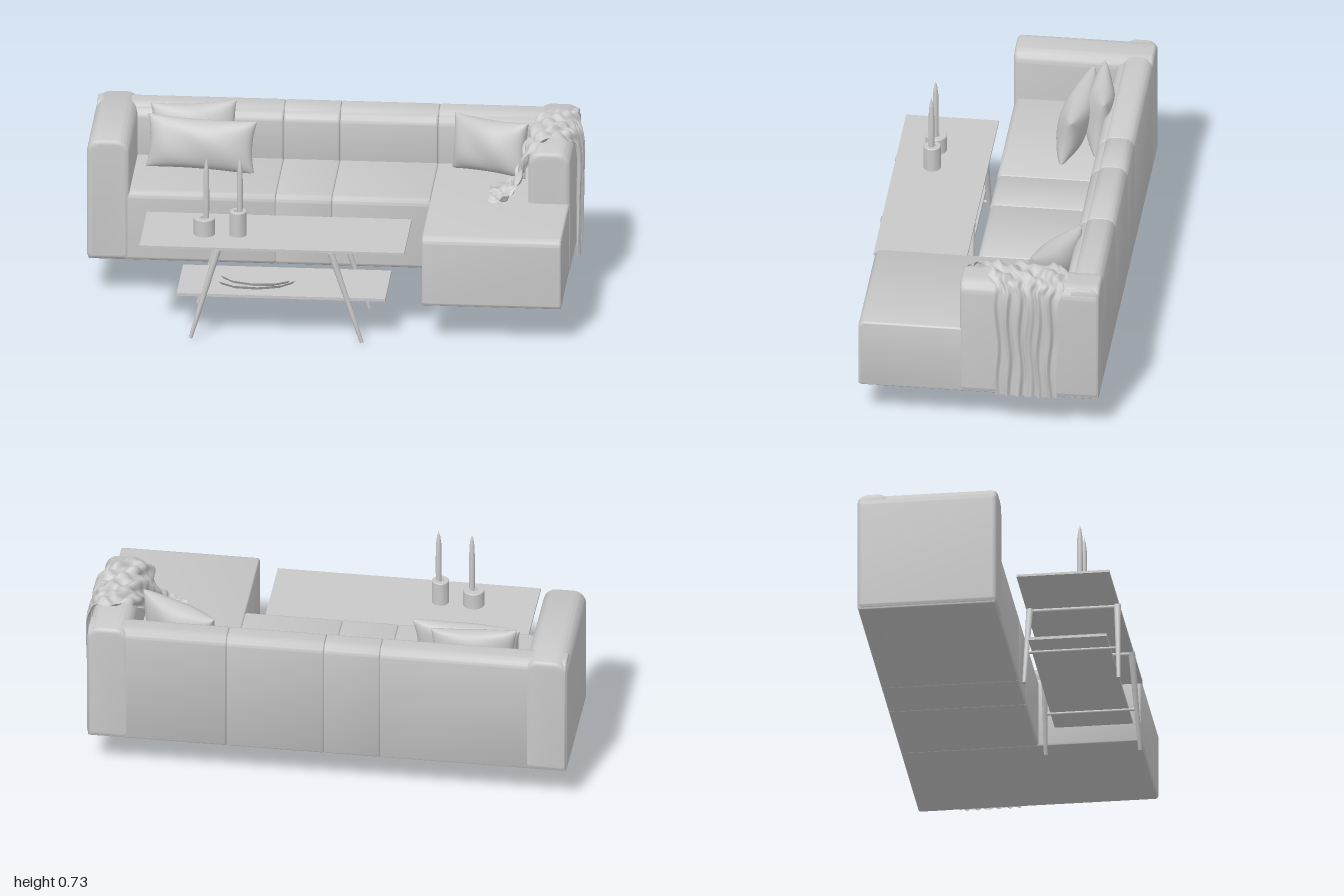
import * as THREE from 'three';
import { mergeGeometries, mergeVertices, toCreasedNormals } from 'three/addons/utils/BufferGeometryUtils.js';

const clay = new THREE.MeshStandardMaterial({ color: 0xc8c8c8, side: THREE.DoubleSide });
clay.name = 'light grey';
const V = (x, y, z) => new THREE.Vector3(x, y, z);

function add(parent, name, geo, x = 0, y = 0, z = 0) {
  const m = new THREE.Mesh(geo, clay);
  m.name = name;
  m.position.set(x, y, z);
  parent.add(m);
  return m;
}

// Upholstered block: rounded cross-section extruded along x or z with softened ends
function block(parent, name, [x0, x1], [y0, y1], [z0, z1], axis, rTop, bevel) {
  const alongX = axis === 'x';
  const [a0, a1] = alongX ? [-z1, -z0] : [x0, x1];
  const [e0, e1] = alongX ? [x0, x1] : [z0, z1];
  const l = a0 + bevel, r = a1 - bevel, b = y0 + bevel, t = y1 - bevel;
  const rb = 0.006, rt = rTop;
  const s = new THREE.Shape();
  s.moveTo(l + rb, b);
  s.lineTo(r - rb, b).quadraticCurveTo(r, b, r, b + rb);
  s.lineTo(r, t - rt).absarc(r - rt, t - rt, rt, 0, Math.PI / 2, false);
  s.lineTo(l + rt, t).absarc(l + rt, t - rt, rt, Math.PI / 2, Math.PI, false);
  s.lineTo(l, b + rb).quadraticCurveTo(l, b, l + rb, b);
  let g = new THREE.ExtrudeGeometry(s, {
    depth: e1 - e0 - 2 * bevel, bevelEnabled: true, bevelThickness: bevel,
    bevelSize: bevel, bevelSegments: 4, curveSegments: 6,
  });
  g.translate(0, 0, e0 + bevel);
  if (alongX) g.rotateY(Math.PI / 2);
  return add(parent, name, toCreasedNormals(g, 0.7));
}

// Tapered round bar between two points
function bar(parent, name, a, b, rA, rB) {
  const d = b.clone().sub(a);
  const m = add(parent, name, new THREE.CylinderGeometry(rB, rA, d.length(), 12));
  m.position.copy(a).addScaledVector(d, 0.5);
  m.quaternion.setFromUnitVectors(V(0, 1, 0), d.normalize());
  return m;
}

// Pillow with pinched edges and pointed corners
function pillow(parent, name, w, h, t, pos, rot) {
  const side = (sgn) => {
    const g = new THREE.PlaneGeometry(2, 2, 20, 20), p = g.attributes.position;
    for (let i = 0; i < p.count; i++) {
      const u = Math.sin(p.getX(i) * Math.PI / 2), v = Math.sin(p.getY(i) * Math.PI / 2);
      const fat = Math.pow((1 - u * u) * (1 - v * v), 0.42);
      const crease = 1 + 0.06 * Math.sin(5 * u + 3 * v);
      p.setXYZ(i, sgn * w * u * (1 - 0.07 * (1 - v * v)), h * v * (1 - 0.09 * (1 - u * u)), sgn * t * fat * crease);
    }
    g.deleteAttribute('normal');
    g.deleteAttribute('uv');
    return g;
  };
  const g = mergeVertices(mergeGeometries([side(1), side(-1)]), 1e-5);
  g.computeVertexNormals();
  add(parent, name, g, ...pos).rotation.set(rot[0], rot[1], rot[2], 'YXZ');
}

// Draped blanket: pleated sheet lofted between two edge curves
function throwBlanket(parent) {
  const rows = [ // x, y, front z, rear z
    [0.982, 0.165, -0.09, -0.34], [0.983, 0.4, -0.09, -0.345], [0.98, 0.63, -0.085, -0.355],
    [0.95, 0.685, -0.07, -0.37], [0.89, 0.698, -0.03, -0.37], [0.825, 0.685, 0.02, -0.34],
    [0.79, 0.62, 0.05, -0.25], [0.755, 0.52, 0.065, -0.17], [0.71, 0.474, 0.085, -0.12],
    [0.64, 0.466, 0.07, -0.07]];
  const front = new THREE.CatmullRomCurve3(rows.map((r) => V(r[0], r[1], r[2])));
  const rear = new THREE.CatmullRomCurve3(rows.map((r) => V(r[0], r[1], r[3])));
  const nu = 60, nv = 48;
  const g = new THREE.PlaneGeometry(1, 1, nv, nu), p = g.attributes.position;
  for (let i = 0; i <= nu; i++) {
    const u = i / nu, a = front.getPoint(u), b = rear.getPoint(u), t = front.getTangent(u);
    const k = Math.hypot(t.x, t.y) || 1, nx = t.y / k, ny = -t.x / k;
    const messy = THREE.MathUtils.smoothstep(u, 0.22, 0.4);
    for (let j = 0; j <= nv; j++) {
      const v = j / nv;
      const pleat = 0.007 * Math.sin(v * 38 + Math.sin(u * 9)) + 0.004 * Math.sin(v * 67 + u * 6);
      const rumple = 0.009 * Math.sin(v * 17 + u * 31) + 0.007 * Math.sin(v * 29 - u * 47);
      const off = 0.007 + pleat * (1 - 0.5 * messy) + rumple * messy;
      const q = a.clone().lerp(b, v);
      p.setXYZ(i * (nv + 1) + j, q.x + nx * off, Math.max(q.y + ny * off, 0.16), q.z + 0.006 * Math.sin(u * 40 + v * 6));
    }
  }
  g.computeVertexNormals();
  add(parent, 'throwBlanket', g);
}

function buildSofa() {
  const sofa = new THREE.Group();
  sofa.name = 'sofa';
  // Seat, back and cushion of each section
  const seams = [-0.995, -0.23, 0, 0.4, 0.968];
  for (let i = 0; i < 4; i++) {
    const x = [seams[i], seams[i + 1]], chaise = i === 3;
    block(sofa, chaise ? 'chaiseSeat' : 'seat', x, [0.157, 0.457], [-0.45, chaise ? 0.475 : 0.056], 'x', 0.022, 0.009);
    block(sofa, 'backrest', x, [0.157, 0.672], [-0.51, -0.385], 'x', 0.035, 0.007);
    const cx = [Math.max(x[0], -0.84), Math.min(x[1], 0.82)];
    block(sofa, 'backCushion', cx, [0.44, 0.655], [-0.46, -0.358], 'x', 0.035, 0.01);
  }
  // Arms
  block(sofa, 'rightArm', [-1, -0.825], [0.157, 0.678], [-0.512, 0.06], 'z', 0.035, 0.02);
  block(sofa, 'leftArm', [0.8, 0.973], [0.157, 0.678], [-0.512, 0.06], 'z', 0.035, 0.02);
  // Loose pillows and blanket
  pillow(sofa, 'rearPillow', 0.175, 0.13, 0.06, [-0.59, 0.575, -0.325], [-0.15, 0.12, 0.02]);
  pillow(sofa, 'frontPillow', 0.225, 0.11, 0.065, [-0.555, 0.56, -0.235], [-0.22, -0.08, -0.02]);
  pillow(sofa, 'cornerPillow', 0.175, 0.115, 0.07, [0.62, 0.573, -0.275], [-0.2, -0.48, 0.06]);
  throwBlanket(sofa);
  return sofa;
}

function buildTable() {
  const table = new THREE.Group();
  table.name = 'coffeeTable';
  add(table, 'tableTop', new THREE.BoxGeometry(1.08, 0.01, 0.38), -0.21, 0.387, 0.3);
  add(table, 'shelf', new THREE.BoxGeometry(0.85, 0.012, 0.32), -0.175, 0.172, 0.3);
  // Splayed legs with cross rails under the top and shelf
  for (const [xt, xb] of [[-0.43, -0.54], [0.03, 0.158]]) {
    for (const [zt, zb] of [[0.483, 0.502], [0.124, 0.115]])
      bar(table, 'leg', V(xb, 0.002, zb), V(xt, 0.383, zt), 0.008, 0.014);
    bar(table, 'topRail', V(xt, 0.374, 0.124), V(xt, 0.374, 0.483), 0.008, 0.008);
    const xs = xb + (xt - xb) * 0.42;
    bar(table, 'shelfRail', V(xs, 0.16, 0.12), V(xs, 0.16, 0.493), 0.006, 0.006);
  }
  // Magazines on the shelf
  [[0.165, 0.186, 0.1], [0.15, 0.198, -0.12]].forEach(([r, y, turn]) => {
    const m = add(table, 'magazine', new THREE.CylinderGeometry(r, r * 0.92, 0.013, 10), -0.285, y, 0.31);
    m.scale.z = 0.6;
    m.rotation.y = turn;
  });
  // Candles in round holders
  for (const [x, r, top, tip] of [[-0.497, 0.044, 0.463, 0.722], [-0.36, 0.035, 0.496, 0.728]]) {
    const holder = [[0, 0.392], [r, 0.392], [r, top - 0.003], [r - 0.003, top], [0.016, top], [0.014, top - 0.012], [0, top - 0.012]];
    const candle = [[0.011, top - 0.012], [0.0125, top + 0.06], [0.011, tip - 0.06], [0.006, tip - 0.02], [0.002, tip - 0.01], [0, tip]];
    const turn = (pts) => toCreasedNormals(new THREE.LatheGeometry(pts.map((q) => new THREE.Vector2(...q)), 20), 0.6);
    add(table, 'candleHolder', turn(holder), x, 0, 0.335);
    add(table, 'candle', turn(candle), x + 0.008, 0, 0.337);
  }
  return table;
}

export function createModel() {
  const model = new THREE.Group();
  model.name = 'livingRoomSet';
  model.add(buildSofa(), buildTable());
  return model;
}
